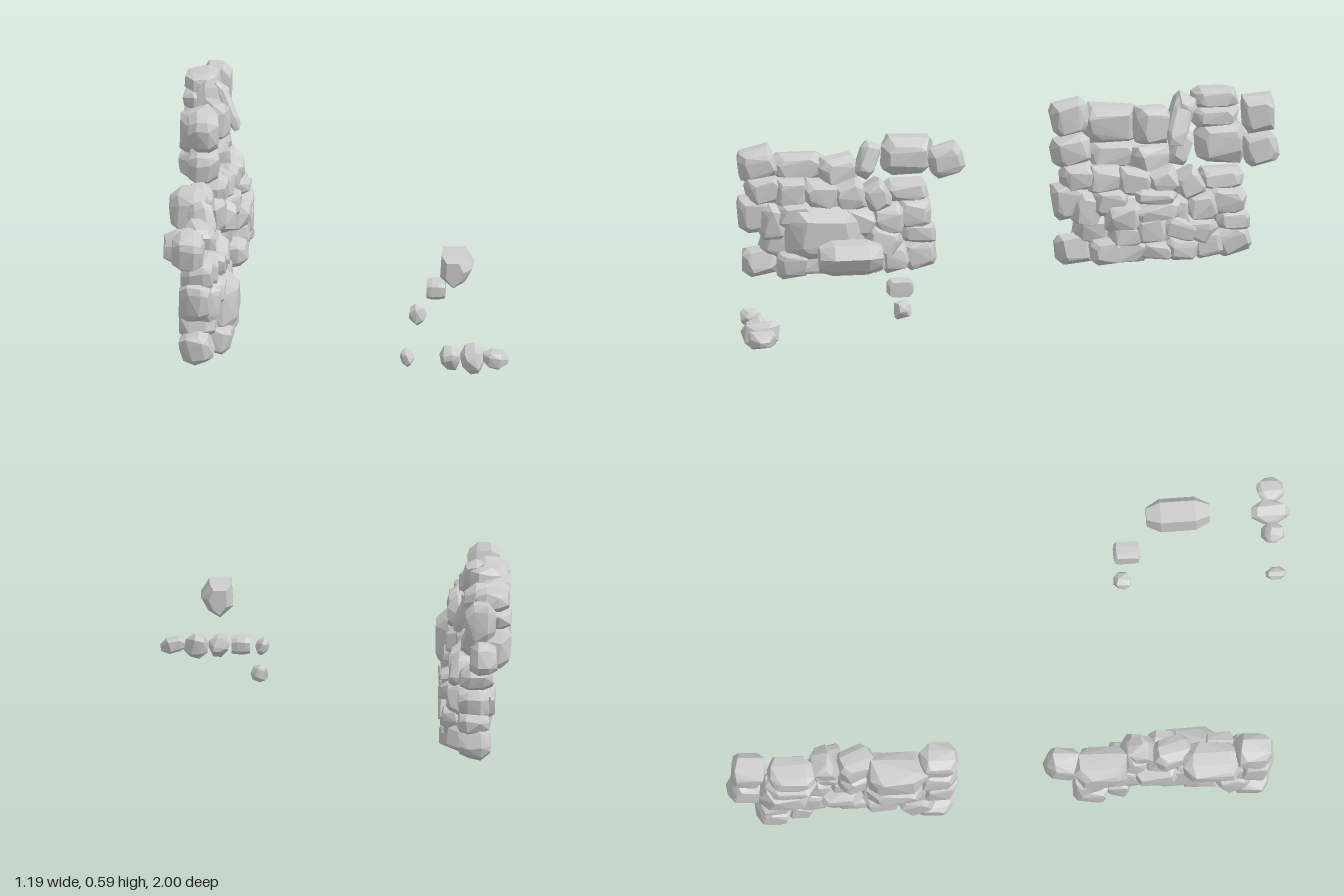
import * as THREE from 'three';
import { ConvexGeometry } from 'three/addons/geometries/ConvexGeometry.js';

const material = new THREE.MeshStandardMaterial({ color: 0xcccccc, flatShading: true });

// Small seeded generator for the uneven stone corners
let seed = 11;
const rnd = () => {
  seed = (seed * 16807) % 2147483647;
  return seed / 2147483647 - 0.5;
};

// One hewn stone: jittered six-sided rings along x, closed by a convex hull.
// Sizes are full extents; tilt, yaw and lean turn about x, y and z.
function stone(name, [x, y, z], [dx, dy, dz], [tilt = 0, yaw = 0, lean = 0] = [], rough = 0.24, taper = 0.68) {
  const ring = [[1, 0.55], [0.75, 1], [-0.75, 1], [-1, 0.5], [-0.95, -0.6], [-0.65, -1], [0.7, -1], [1, -0.6]];
  const layers = [[-1, taper], [-0.45, 1], [0.4, 1], [1, taper]];
  const points = [];
  for (const [u, s] of layers) {
    for (const [w, v] of ring) {
      points.push(new THREE.Vector3(
        (u + rnd() * rough) * dx / 2,
        (v * s + rnd() * rough) * dy / 2,
        (w * s + rnd() * rough) * dz / 2));
    }
  }
  const mesh = new THREE.Mesh(new ConvexGeometry(points), material);
  mesh.name = name;
  mesh.position.set(x, y, z);
  mesh.rotation.set(tilt, yaw, lean);
  return mesh;
}

// Each course lists stones as [z, y, x, dz, dy, dx, tilt, yaw, lean]
const bottomCourse = [
  [0.79, 0.06, -0.475, 0.13, 0.1, 0.1, 0.15, 0, 0.2],
  [0.73, 0.13, -0.475, 0.12, 0.11, 0.12, -0.2],
  [0.69, 0.065, -0.41, 0.11, 0.09, 0.1, 0.1],
  [0.62, 0.065, -0.43, 0.15, 0.08, 0.13],
  [0.52, 0.06, -0.42, 0.14, 0.06, 0.12, -0.1],
  [0.43, 0.065, -0.41, 0.11, 0.08, 0.11],
  [0.34, 0.07, -0.44, 0.1, 0.1, 0.12, 0.2],
  [0.25, 0.07, -0.47, 0.12, 0.1, 0.1, 0.3],
  [0.38, 0.13, -0.43, 0.13, 0.09, 0.13, -0.3],
  [0.25, 0.145, -0.465, 0.12, 0.07, 0.1, -0.15],
];
const middleCourse = [
  [0.81, 0.23, -0.48, 0.12, 0.13, 0.1, 0.2],
  [0.75, 0.2, -0.46, 0.1, 0.12, 0.12, -0.2],
  [0.68, 0.23, -0.45, 0.13, 0.09, 0.13],
  [0.47, 0.2, -0.45, 0.15, 0.1, 0.14, -0.25],
  [0.36, 0.2, -0.445, 0.11, 0.11, 0.13, 0.2],
  [0.27, 0.21, -0.465, 0.13, 0.1, 0.1, -0.1],
];
const upperCourse = [
  [0.78, 0.31, -0.475, 0.12, 0.09, 0.1, 0.15],
  [0.69, 0.3, -0.47, 0.12, 0.1, 0.12],
  [0.59, 0.295, -0.455, 0.13, 0.09, 0.13, -0.15],
  [0.49, 0.29, -0.445, 0.11, 0.1, 0.12, 0.35],
  [0.4, 0.285, -0.445, 0.09, 0.1, 0.12, 0.5],
  [0.29, 0.29, -0.475, 0.15, 0.07, 0.11],
];
const capCourse = [
  [0.8, 0.395, -0.505, 0.13, 0.11, 0.1, 0.25],
  [0.66, 0.375, -0.53, 0.19, 0.09, 0.12],
  [0.525, 0.36, -0.48, 0.13, 0.11, 0.09, 0.1, 0.3],
  [0.425, 0.4, -0.475, 0.07, 0.12, 0.08, -0.4, 0, 0.25],
  [0.28, 0.4, -0.53, 0.17, 0.13, 0.12],
  [0.15, 0.38, -0.5, 0.12, 0.11, 0.09, 0.25],
];
const topCourse = [
  [0.805, 0.515, -0.505, 0.13, 0.11, 0.1, 0.25],
  [0.66, 0.48, -0.53, 0.2, 0.13, 0.12],
  [0.525, 0.48, -0.48, 0.13, 0.13, 0.09, 0, 0.3],
  [0.42, 0.52, -0.49, 0.08, 0.12, 0.1, -0.35],
  [0.3, 0.56, -0.53, 0.16, 0.065, 0.11],
  [0.3, 0.495, -0.53, 0.16, 0.065, 0.12],
  [0.155, 0.51, -0.49, 0.12, 0.12, 0.1, 0.1],
];

// Small rubble that bulges out of the rear wall
const rubble = [
  [0.63, 0.18, -0.42, 0.13, 0.09, 0.13, 0.1],
  [0.62, 0.12, -0.42, 0.13, 0.08, 0.12, -0.1],
  [0.54, 0.14, -0.41, 0.12, 0.1, 0.13, 0.2],
  [0.44, 0.14, -0.41, 0.14, 0.08, 0.11, -0.4],
  [0.51, 0.2, -0.4, 0.18, 0.06, 0.1, 0.25],
  [0.52, 0.25, -0.41, 0.15, 0.05, 0.1, -0.1],
];

function buildWall(name, courses) {
  const wall = new THREE.Group();
  wall.name = name;
  for (const [courseName, list] of Object.entries(courses)) {
    const course = new THREE.Group();
    course.name = courseName;
    list.forEach(([z, y, x, dz, dy, dx, ...turn], i) =>
      course.add(stone(`${courseName}Stone${i + 1}`, [x, y, z], [dx, dy, dz], turn)));
    wall.add(course);
  }
  return wall;
}

export function createModel() {
  const model = new THREE.Group();
  model.name = 'ruinedStoneWalls';
  const courses = { bottomCourse, middleCourse, upperCourse, capCourse };

  // Low front wall with one large bulging boulder
  const frontWall = buildWall('frontWall', courses);
  frontWall.add(stone('boulder', [-0.425, 0.165, 0.58], [0.16, 0.19, 0.28], [], 0.12, 0.6));
  model.add(frontWall);

  // Taller rear wall with rubble, one more course and a leaning pointed shard
  const rearWall = buildWall('rearWall', { ...courses, topCourse, rubble });
  rearWall.position.z = -1.08;
  rearWall.add(stone('leaningShard', [-0.44, 0.5, 0.43], [0.04, 0.17, 0.07], [-0.3, 0, 0.4]));
  model.add(rearWall);

  // Separate stones on the other side
  const loose = new THREE.Group();
  loose.name = 'looseStones';
  loose.add(stone('looseBlock', [0.323, 0.172, 0.43], [0.063, 0.058, 0.09], [], 0.05, 0.9));
  const pebbles = [
    [[0.258, 0.075, 0.412], [0.055, 0.055, 0.06], [0.2, 0, 0.5]],
    [[0.247, 0.07, 0.935], [0.04, 0.05, 0.065], [0, 0, 0.4]],
    [[0.395, 0.072, 0.935], [0.065, 0.065, 0.07], [0.5, 0, 0.2]],
    [[0.472, 0.07, 0.932], [0.075, 0.08, 0.12], [0.1, 0, 0.2]],
    [[0.548, 0.072, 0.94], [0.085, 0.05, 0.085], [0.1, 0, -0.2]],
  ];
  pebbles.forEach(([position, size, turn], i) =>
    loose.add(stone(`pebble${i + 1}`, position, size, turn, 0.25, 0.45)));

  // Floating keystone: a faceted wedge tapering at both ends along z
  const outline = [[-0.045, 0.055], [0.03, 0.055], [0.06, 0.01], [0.035, -0.035], [-0.005, -0.06], [-0.05, -0.02]];
  const points = [];
  for (const [z, s] of [[-0.108, 0.55], [-0.06, 1], [0.06, 1], [0.108, 0.55]]) {
    for (const [x, y] of outline) points.push(new THREE.Vector3(x * s, y * (0.4 + 0.6 * s), z));
  }
  const keystone = new THREE.Mesh(new ConvexGeometry(points), material);
  keystone.name = 'keystone';
  keystone.position.set(0.398, 0.302, 0.612);
  loose.add(keystone);
  model.add(loose);
  return model;
}
